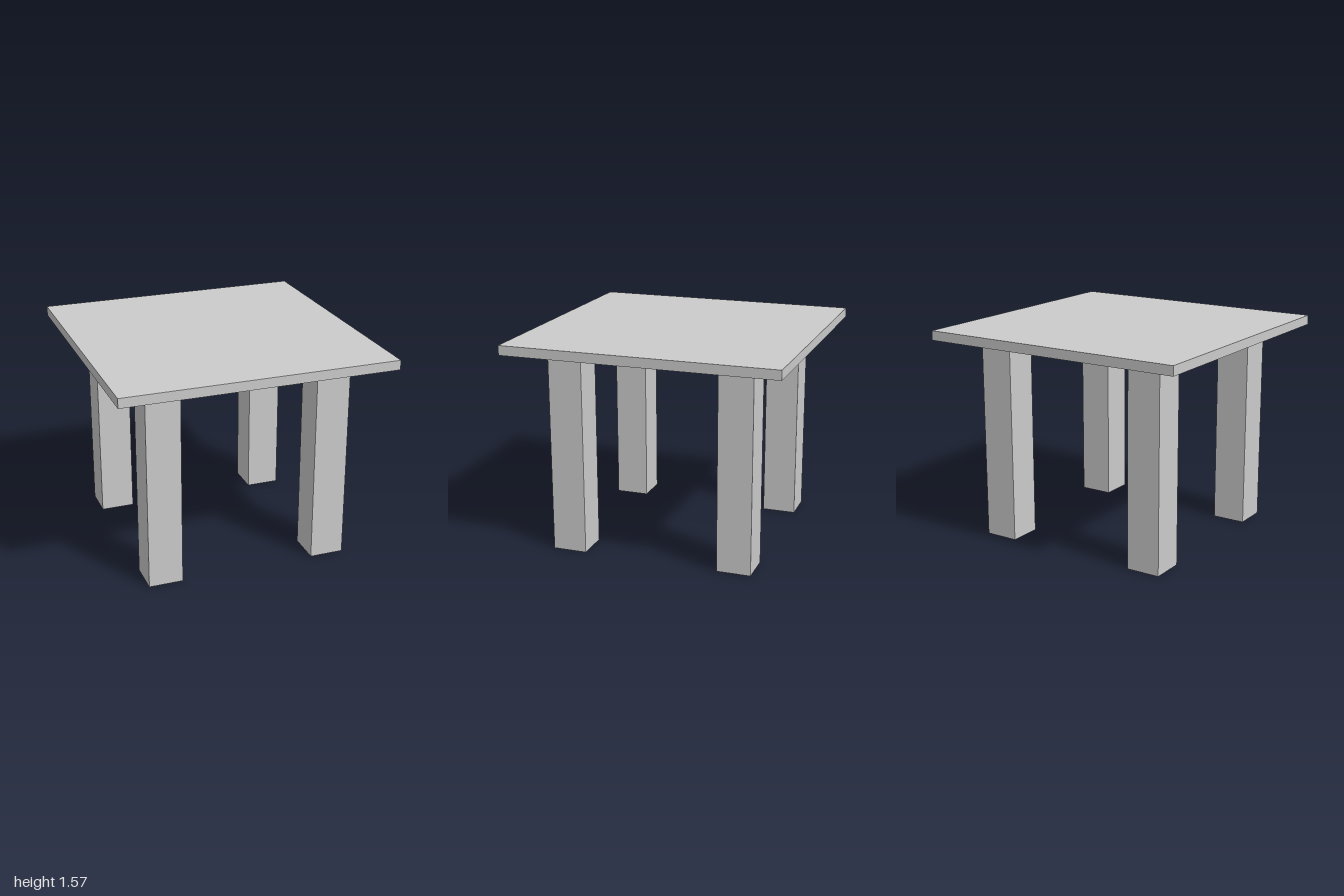
import * as THREE from 'three';

const LEG_HEIGHT = 1.5;
const LEG_WIDTH = 0.25;
const LEG_OFFSET = 0.625;
const TOP_THICKNESS = 0.07;

export function createModel() {
  const table = new THREE.Group();
  table.name = 'table';
  const material = new THREE.MeshStandardMaterial({ color: 0xcccccc, flatShading: true });

  // Square slab top
  const top = new THREE.Mesh(new THREE.BoxGeometry(2, TOP_THICKNESS, 2), material);
  top.name = 'tableTop';
  top.position.y = LEG_HEIGHT + TOP_THICKNESS / 2;
  table.add(top);

  // Four square legs, inset from the corners
  const legGeometry = new THREE.BoxGeometry(LEG_WIDTH, LEG_HEIGHT, LEG_WIDTH);
  for (const [xName, x] of [['Left', 1], ['Right', -1]]) {
    for (const [zName, z] of [['front', 1], ['back', -1]]) {
      const leg = new THREE.Mesh(legGeometry, material);
      leg.name = `${zName}${xName}Leg`;
      leg.position.set(x * LEG_OFFSET, LEG_HEIGHT / 2, z * LEG_OFFSET);
      table.add(leg);
    }
  }
  return table;
}
